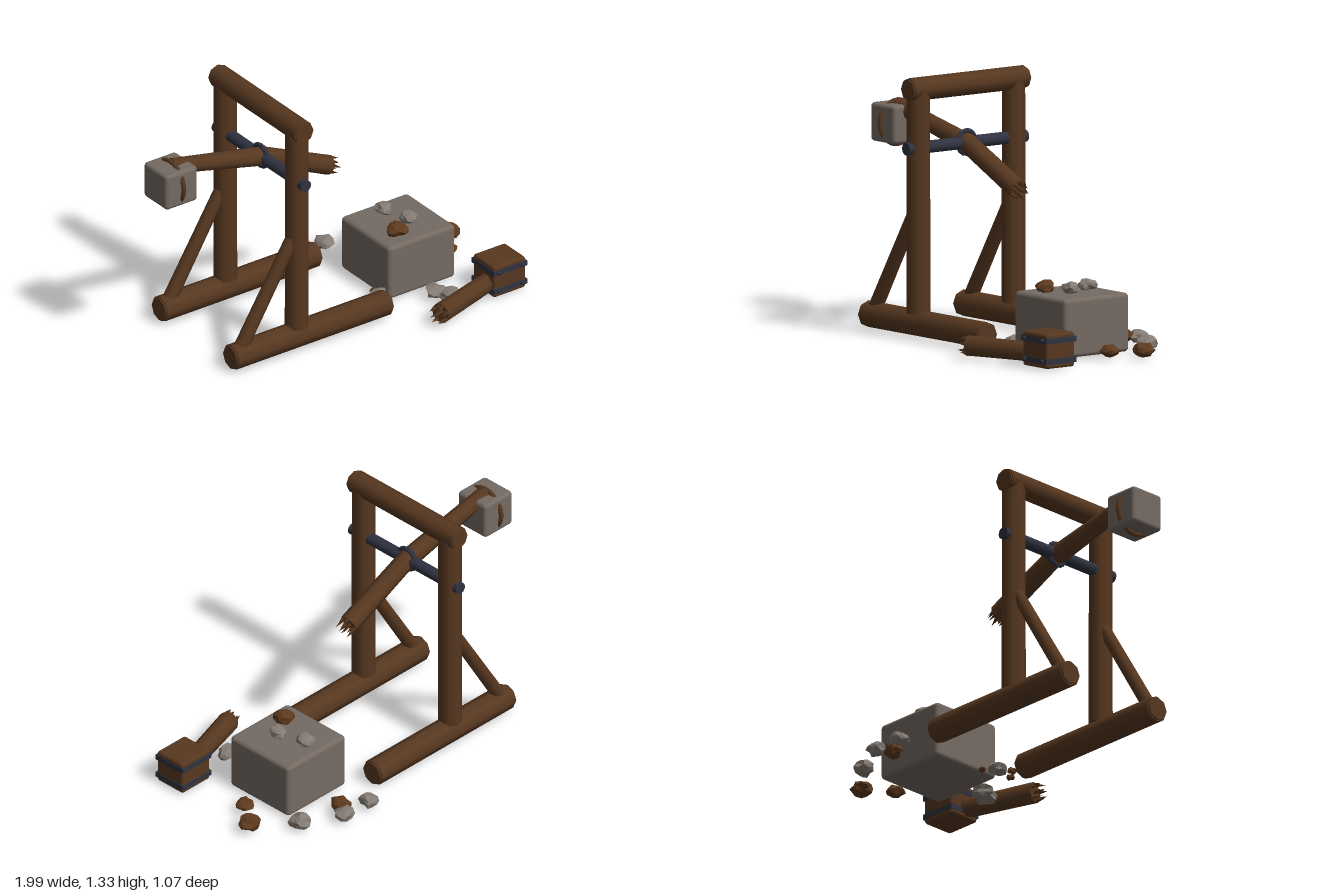
import * as THREE from 'three';
import { RoundedBoxGeometry } from 'three/addons/geometries/RoundedBoxGeometry.js';

const V = (x, y, z) => new THREE.Vector3(x, y, z);

export function createModel() {
  const model = new THREE.Group();
  model.name = 'brokenCatapult';
  const mat = (name, color, flat = false) => {
    const m = new THREE.MeshStandardMaterial({ color, flatShading: flat });
    m.name = name;
    return m;
  };
  const wood = mat('wood', 0x573820);
  const iron = mat('iron', 0x2f3240);
  const stone = mat('stone', 0x746a62);
  const rubbleStone = mat('rubbleStone', 0x857c74, true);
  const rubbleWood = mat('rubbleWood', 0x5e3a1e, true);

  const add = (name, geo, material, pos, parent = model) => {
    const m = new THREE.Mesh(geo, material);
    m.name = name;
    if (pos) m.position.copy(pos);
    parent.add(m);
    return m;
  };

  // Seeded random numbers
  let seed = 7;
  const rand = () => (seed = (seed * 16807) % 2147483647) / 2147483647;

  // Round timber from a to b, optionally with thin end plates
  const log = (name, a, b, r0, r1 = r0, { material = wood, plates = false, sides = 8 } = {}) => {
    const g = new THREE.Group();
    g.name = name;
    const dir = b.clone().sub(a), len = dir.length();
    g.position.copy(a).addScaledVector(dir, 0.5);
    g.quaternion.setFromUnitVectors(V(0, 1, 0), dir.normalize());
    add(name + 'Shaft', new THREE.CylinderGeometry(r1, r0, len, sides), material, null, g);
    if (plates) for (const s of [-1, 1]) {
      const r = (s < 0 ? r0 : r1) * 0.9;
      add(name + 'End', new THREE.CylinderGeometry(r, r, 0.009, sides), material, V(0, s * (len / 2 + 0.0045), 0), g);
    }
    model.add(g);
    return { g, len };
  };

  // Jagged splinters on the far end of a timber
  const splinter = ({ g, len }, r) => {
    for (let i = 0; i < 9; i++) {
      const a = i * 2.4, d = i < 7 ? r * 0.75 : r * 0.25;
      const h = 0.04 + rand() * 0.035;
      const cone = add('splinter', new THREE.ConeGeometry(r * 0.26, h, 4), wood,
        V(Math.cos(a) * d, len / 2 + h / 2 - 0.008, Math.sin(a) * d), g);
      cone.rotation.set((rand() - 0.5) * 0.3, a, (rand() - 0.5) * 0.3);
    }
  };

  // Side frames: base log, post and diagonal brace
  for (const z of [0.235, -0.375]) {
    log('baseLog', V(-0.745, 0.08, z), V(0.212, 0.08, z), 0.068, 0.068, { plates: true });
    log('post', V(-0.34, 0.13, z), V(-0.34, 1.27, z), 0.061, 0.059);
    log('brace', V(-0.70, 0.10, z), V(-0.355, 0.665, z), 0.037, 0.034);
  }
  log('topBeam', V(-0.34, 1.27, -0.437), V(-0.34, 1.27, 0.295), 0.06, 0.06, { plates: true });

  // Iron axle and the collar around the arm
  log('axle', V(-0.34, 0.97, -0.45), V(-0.34, 0.97, 0.315), 0.032, 0.032, { material: iron, sides: 12 });
  const collar = add('collar', new THREE.TorusGeometry(0.058, 0.013, 6, 16), iron, V(-0.34, 0.972, -0.073));
  collar.rotation.set(0, Math.PI / 2, 0);

  // Snapped throwing arm
  const zArm = -0.073;
  log('rearArm', V(-0.9, 1.097, zArm), V(-0.325, 0.964, zArm), 0.041, 0.052);
  splinter(log('frontArm', V(-0.35, 0.976, zArm), V(0.078, 0.778, zArm), 0.05, 0.053), 0.053);

  // Counterweight block with its rope loop
  add('counterweight', new RoundedBoxGeometry(0.198, 0.198, 0.2, 2, 0.02), stone, V(-0.9, 1.01, zArm));
  const loop = add('weightLoop', new THREE.TorusGeometry(0.113, 0.012, 6, 20), wood, V(-0.9, 1.01, zArm));
  loop.rotation.y = Math.PI / 2;

  // Large fallen stone block
  add('stoneBlock', new RoundedBoxGeometry(0.416, 0.3, 0.416, 2, 0.022), stone, V(0.516, 0.16, -0.073));

  // Broken mallet: snapped handle and iron-bound head
  splinter(log('malletHandle', V(0.82, 0.07, 0.34), V(0.38, 0.07, 0.476), 0.05, 0.054), 0.054);
  const head = new THREE.Group();
  head.name = 'malletHead';
  head.position.set(0.848, 0.098, 0.337);
  model.add(head);
  add('headBlock', new RoundedBoxGeometry(0.2, 0.178, 0.182, 2, 0.015), wood, null, head);
  for (const y of [0.053, -0.052]) {
    add('headBand', new THREE.BoxGeometry(0.208, 0.028, 0.19), iron, V(0, y, 0), head);
    for (const x of [-0.073, 0.073])
      add('rivet', new THREE.SphereGeometry(0.012, 8, 6), iron, V(x, y, 0.098), head);
  }

  // Rough chunk made by pushing sphere corners in and out
  const chunk = (name, material, x, y, z, r) => {
    const geo = new THREE.IcosahedronGeometry(r, 1), p = geo.attributes.position;
    const offsets = new Map(), v = V(0, 0, 0);
    for (let i = 0; i < p.count; i++) {
      v.fromBufferAttribute(p, i);
      const key = [v.x, v.y, v.z].map(c => Math.round(c * 1e4)).join();
      if (!offsets.has(key)) offsets.set(key, 0.72 + rand() * 0.45);
      v.multiplyScalar(offsets.get(key));
      p.setXYZ(i, v.x, v.y * 0.72, v.z);
    }
    geo.computeVertexNormals();
    add(name, geo, material, V(x, y, z)).rotation.y = rand() * 6;
  };
  // x, y, z, radius
  const stones = [
    [0.36, 0.045, -0.495, 0.052], [0.535, 0.045, -0.485, 0.052], [0.74, 0.045, -0.38, 0.055],
    [0.505, 0.335, -0.18, 0.048], [0.555, 0.335, -0.035, 0.046], [0.27, 0.042, 0.105, 0.048],
    [0.52, 0.045, 0.245, 0.055], [0.56, 0.045, 0.315, 0.052],
  ];
  const woods = [
    [0.49, 0.046, -0.42, 0.055], [0.93, 0.05, -0.21, 0.055], [0.825, 0.042, -0.075, 0.05],
    [0.43, 0.335, 0.035, 0.053], [0.295, 0.022, 0.022, 0.02], [0.215, 0.03, 0.155, 0.024],
    [0.265, 0.022, 0.19, 0.022],
  ];
  for (const s of stones) chunk('stoneChunk', rubbleStone, ...s);
  for (const s of woods) chunk('woodChunk', rubbleWood, ...s);

  return model;
}
